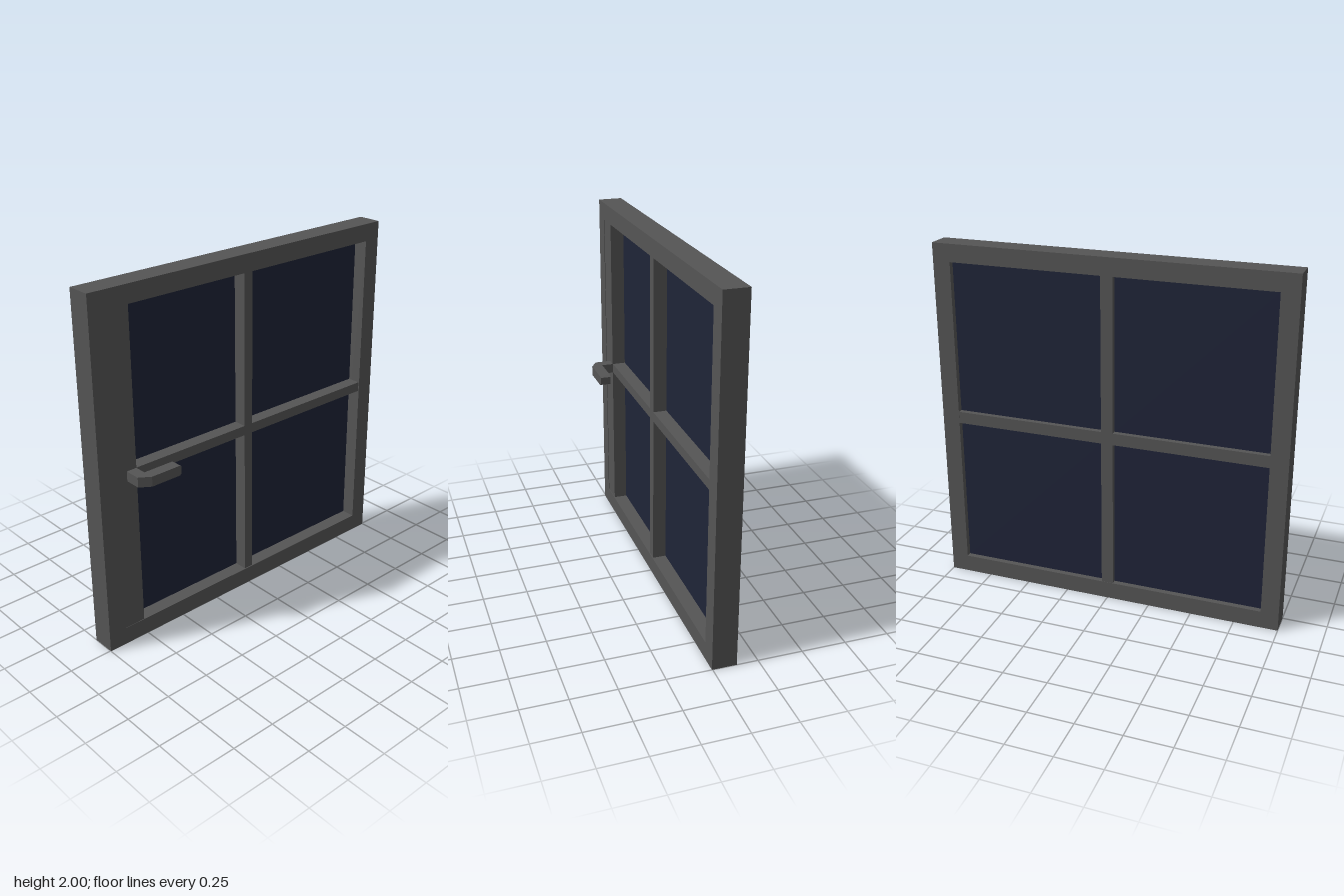
import * as THREE from 'three';

const FRONT = 0.004, BACK = -0.132;      // faces of the outer frame
const GLASS_FRONT = -0.077, GLASS_BACK = -0.1;

export function createModel() {
  const model = new THREE.Group();
  model.name = 'window';
  const frameMat = new THREE.MeshStandardMaterial({ color: 0x555555, flatShading: true });
  const glassMat = new THREE.MeshStandardMaterial({ color: 0x1f2438, flatShading: true });

  const add = (name, geometry, material = frameMat) => {
    const mesh = new THREE.Mesh(geometry, material);
    mesh.name = name;
    model.add(mesh);
    return mesh;
  };
  // Box given by its limits on each axis
  const slab = (name, [x0, x1], [y0, y1], [z0, z1], material) =>
    add(name, new THREE.BoxGeometry(x1 - x0, y1 - y0, z1 - z0), material)
      .position.set((x0 + x1) / 2, (y0 + y1) / 2, (z0 + z1) / 2);
  const polygon = (pts) => pts.map(([x, y]) => new THREE.Vector2(x, y));

  // Outer frame: square rim with one opening
  const rim = new THREE.Shape(polygon([[-1, 0], [1, 0], [1, 2], [-1, 2]]));
  rim.holes.push(new THREE.Path(polygon([[-0.9, 0.1], [-0.9, 1.9], [0.9, 1.9], [0.9, 0.1]])));
  const rimGeo = new THREE.ExtrudeGeometry(rim, { depth: FRONT - BACK, bevelEnabled: false });
  add('outerFrame', rimGeo.translate(0, 0, BACK));

  // Glass pane spanning the opening
  slab('glass', [-0.9, 0.9], [0.1, 1.9], [GLASS_BACK, GLASS_FRONT], glassMat);

  // Lock stile that carries the handle
  slab('lockStile', [-0.9, -0.77], [0.1, 1.9], [GLASS_FRONT, FRONT - 0.003]);

  // Glazing bars on both sides of the glass: one upright, two half rails
  const bars = [
    ['front', 0.028, -0.77, [GLASS_FRONT, FRONT - 0.005]],
    ['back', 0.034, -0.9, [BACK + 0.002, GLASS_BACK]],
  ];
  for (const [side, half, left, z] of bars) {
    slab(side + 'Mullion', [-half, half], [0.1, 1.9], z);
    slab(side + 'RightRail', [left, -half], [1 - half, 1 + half], z);
    slab(side + 'LeftRail', [half, 0.9], [1 - half, 1 + half], z);
  }

  // Handle: bent lever, drawn in plan (x, z) and extruded upwards
  const lever = new THREE.Shape(polygon([
    [-0.83, 0], [-0.77, 0], [-0.77, 0.068], [-0.592, 0.068],
    [-0.592, 0.132], [-0.77, 0.132], [-0.83, 0.092],
  ]));
  const leverGeo = new THREE.ExtrudeGeometry(lever, { depth: 0.056, bevelEnabled: false });
  leverGeo.rotateX(Math.PI / 2);         // plan y becomes z, extrusion runs down
  add('handleLever', leverGeo.translate(0, 1.028, 0));

  // Tapered tip of the lever
  const tipGeo = new THREE.BoxGeometry(0.012, 0.056, 0.064);
  const p = tipGeo.attributes.position;
  for (let i = 0; i < p.count; i++) {
    if (p.getX(i) > 0) p.setXYZ(i, p.getX(i), p.getY(i) * 0.75, p.getZ(i) * 0.9);
  }
  tipGeo.computeVertexNormals();
  add('handleTip', tipGeo).position.set(-0.586, 1, 0.1);

  return model;
}
